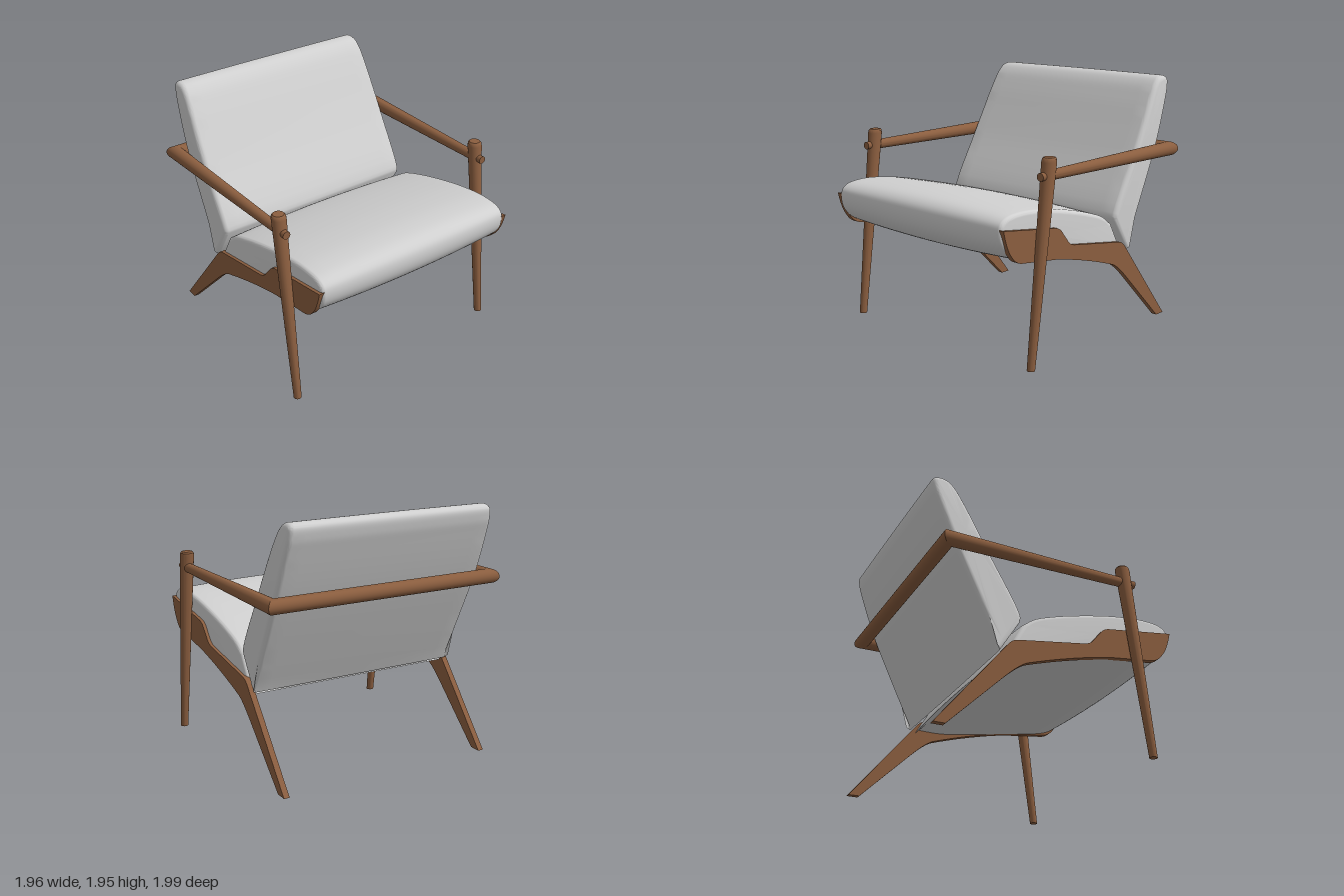
import * as THREE from 'three';
import { toCreasedNormals } from 'three/addons/utils/BufferGeometryUtils.js';

const wood = new THREE.MeshStandardMaterial({ color: 0x8b5e3f });
wood.name = 'wood';
const fabric = new THREE.MeshStandardMaterial({ color: 0xd0d0d0 });
fabric.name = 'fabric';

// Skins a list of equal-length rings and closes both ends
function loft(rings, crease) {
  const n = rings[0].length, pos = [], idx = [];
  rings.forEach(ring => ring.forEach(p => pos.push(p.x, p.y, p.z)));
  for (let i = 0; i < rings.length - 1; i++) {
    for (let j = 0; j < n; j++) {
      const k = (j + 1) % n, a = i * n + j, b = a + n, c = i * n + k, d = c + n;
      idx.push(a, b, c, b, d, c);
    }
  }
  [0, rings.length - 1].forEach(i => {
    const mid = rings[i].reduce((s, p) => s.add(p), new THREE.Vector3()).divideScalar(n);
    const m = pos.length / 3;
    pos.push(mid.x, mid.y, mid.z);
    for (let j = 0; j < n; j++) {
      const a = i * n + j, b = i * n + (j + 1) % n;
      if (i === 0) idx.push(m, a, b); else idx.push(m, b, a);
    }
  });
  const g = new THREE.BufferGeometry();
  g.setAttribute('position', new THREE.Float32BufferAttribute(pos, 3));
  g.setIndex(idx);
  return toCreasedNormals(g, crease);
}

// Cushion: side profile [z, y] swept across x, crowned in the middle, rounded at the ends
function cushion(profile, halfWidth, round, crown, narrow) {
  const curve = new THREE.CatmullRomCurve3(profile.map(([z, y]) => new THREE.Vector3(0, y, z)));
  const pts = curve.getPoints(72), n = pts.length;
  const inward = pts.map((p, j) => {
    const t = pts[(j + 1) % n].clone().sub(pts[(j + n - 1) % n]).normalize();
    return new THREE.Vector3(0, t.z * 1, -t.y).multiplyScalar(1);
  });
  const slices = [];
  const flat = halfWidth - round;
  for (let i = 8; i >= 0; i--) {
    const t = i / 8 * Math.PI / 2;
    slices.push([-flat - round * Math.sin(t), round * (1 - Math.cos(t))]);
  }
  for (let i = 1; i < 16; i++) slices.push([flat * (i / 8 - 1), 0]);
  for (let i = 0; i <= 8; i++) {
    const t = i / 8 * Math.PI / 2;
    slices.push([flat + round * Math.sin(t), round * (1 - Math.cos(t))]);
  }
  const rings = slices.map(([x, inset]) => pts.map((p, j) => {
    const q = p.clone().addScaledVector(inward[j], inset + crown * (x / halfWidth) ** 2);
    q.x = x * (1 - narrow * Math.max(0, (q.y - 1.25) / 0.7) ** 2);
    return q;
  }));
  return loft(rings, 0.6);
}

function circle(x, y, z, r, ux, uz, sides = 32) {
  return Array.from({ length: sides }, (_, j) => {
    const a = j / sides * Math.PI * 2, c = r * Math.cos(a);
    return new THREE.Vector3(x + c * ux, y + r * Math.sin(a), z + c * uz);
  });
}

export function createModel() {
  const chair = new THREE.Group();
  chair.name = 'armchair';
  const add = (name, geometry, material) => {
    const mesh = new THREE.Mesh(geometry, material);
    mesh.name = name;
    chair.add(mesh);
    return mesh;
  };

  // Upholstery
  add('seatCushion', cushion([
    [-0.44, 0.612], [-0.2, 0.61], [0.035, 0.643], [0.46, 0.722], [0.8, 0.79], [0.92, 0.86],
    [0.98, 0.94], [0.997, 1.03], [0.98, 1.1], [0.917, 1.148], [0.757, 1.168], [0.516, 1.146],
    [0.25, 1.094], [-0.02, 1.022], [-0.18, 0.963], [-0.286, 0.888],
  ], 0.86, 0.03, 0.025, 0), fabric);
  add('backCushion', cushion([
    [-0.295, 0.88], [-0.288, 0.93], [-0.527, 1.37], [-0.634, 1.57], [-0.74, 1.77], [-0.815, 1.89],
    [-0.875, 1.94], [-0.955, 1.948], [-0.993, 1.92], [-0.987, 1.84], [-0.955, 1.743],
    [-0.82, 1.395], [-0.607, 0.94], [-0.454, 0.628],
  ], 0.872, 0.04, 0.003, 0.035), fabric);

  // Arms and rear rail: one round bar with mitred corners
  const ax = 0.92, cx = 0.925, ay = 1.381, cz = -0.892;
  add('armRail', loft([
    circle(ax, 1.38, 0.55, 0.037, 1, 0),
    circle(cx, ay, cz, 0.056, 1, -1),
    circle(-cx, ay, cz, 0.056, -1, -1),
    circle(-ax, 1.38, 0.55, 0.037, -1, 0),
  ], 0.6), wood);

  // Side frame outline in z, y, including the rear leg
  const outline = new THREE.Shape();
  outline.moveTo(0.97, 1.055);
  outline.lineTo(0.43, 0.975);
  outline.quadraticCurveTo(0.39, 0.97, 0.36, 0.94);
  outline.lineTo(0.285, 0.85);
  outline.quadraticCurveTo(0.255, 0.815, 0.2, 0.808);
  outline.lineTo(-0.33, 0.722);
  outline.quadraticCurveTo(-0.375, 0.715, -0.41, 0.67);
  outline.lineTo(-0.955, 0);
  outline.lineTo(-0.865, 0);
  outline.lineTo(-0.43, 0.425);
  outline.quadraticCurveTo(-0.31, 0.54, -0.25, 0.56);
  outline.quadraticCurveTo(0.1, 0.68, 0.42, 0.742);
  outline.lineTo(0.78, 0.79);
  outline.quadraticCurveTo(0.85, 0.8, 0.89, 0.86);
  outline.quadraticCurveTo(0.94, 0.92, 0.97, 1.055);

  // Tapered front leg profile with a softened top
  const legProfile = [[0, 0], [0.03, 0], [0.03, 0], [0.055, 1.475], [0.052, 1.497], [0.042, 1.508], [0, 1.51]]
    .map(([r, y]) => new THREE.Vector2(r, y));
  const lean = new THREE.Matrix4().set(1, 0, 0, 0, 0, 1, 0, 0, 0, -0.12, 1, 0.725, 0, 0, 0, 1);

  for (const [side, s] of [['left', 1], ['right', -1]]) {
    const frame = new THREE.ExtrudeGeometry(outline, { depth: 0.045, bevelEnabled: false, curveSegments: 10 });
    frame.rotateY(-Math.PI / 2);
    frame.translate(s > 0 ? 0.885 : -0.84, 0, 0);
    add(side + 'SideFrame', toCreasedNormals(frame, 0.5), wood);

    const leg = new THREE.LatheGeometry(legProfile.filter((p, i) => i !== 2), 32).applyMatrix4(lean);
    add(side + 'FrontLeg', toCreasedNormals(leg, 0.6), wood).position.x = s * 0.92;

    // Round tenon showing through the front leg
    const peg = new THREE.CylinderGeometry(0.03, 0.03, 0.12, 24).rotateX(Math.PI / 2);
    add(side + 'ArmPeg', peg, wood).position.set(s * 0.92, 1.38, 0.582);
  }
  return chair;
}
